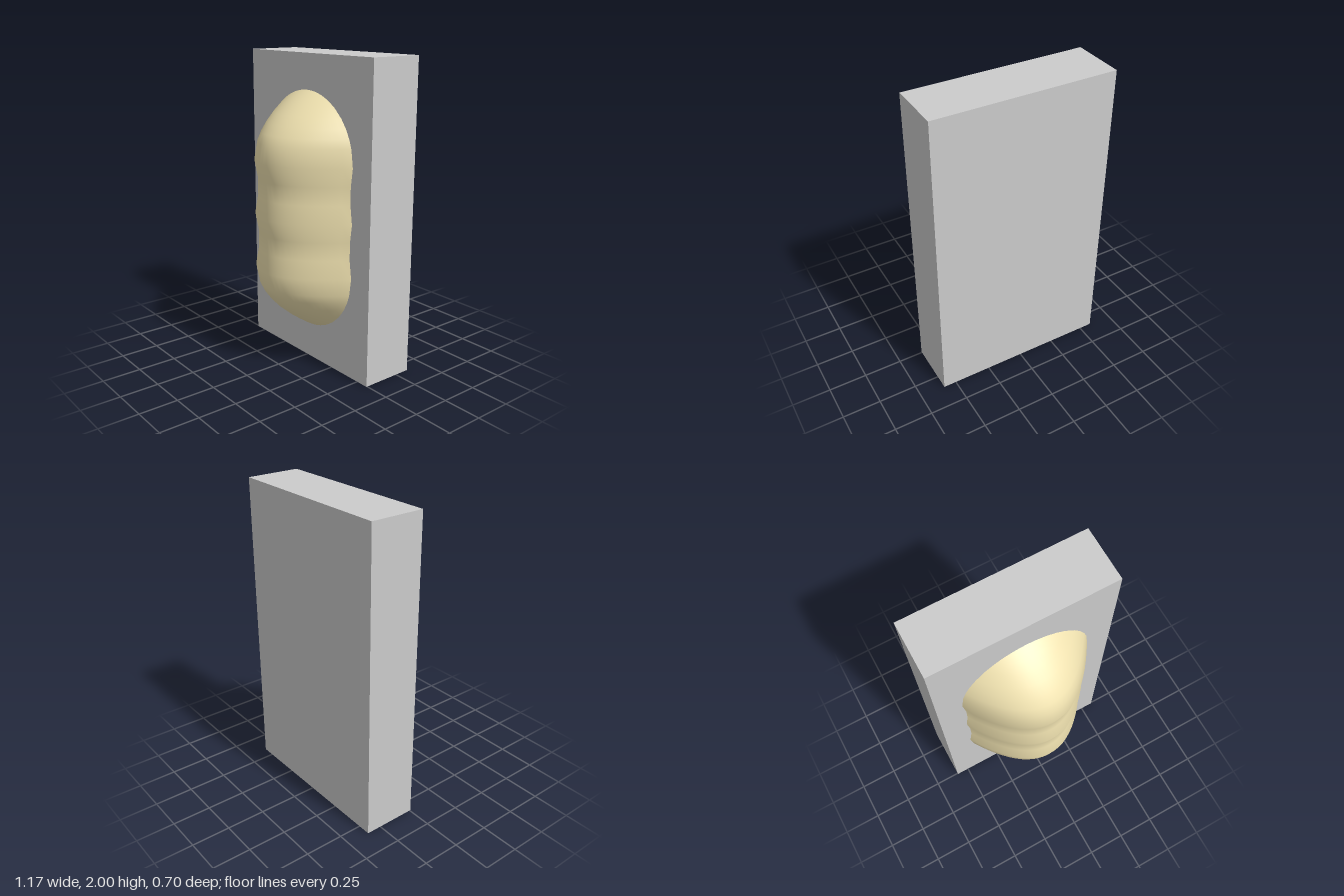
import * as THREE from 'three';

const RADIUS = 0.43, DEPTH = 0.35;

// Ridged mound: parabolic cross-sections swept upward over three overlapping lobes
function moundGeometry() {
  const lobes = [0.66, 1.005, 1.35];
  const cap = [0.428, 0.42, 0.405, 0.38, 0.343, 0.285, 0.228, 0.17, 0.114];
  const rows = [
    ...cap.map(d => lobes[0] - d),
    lobes[0], 0.775, 0.89, lobes[1], 1.12, 1.235, lobes[2],
    ...cap.map(d => lobes[2] + d).reverse(),
  ];
  const segments = 24, positions = [], indices = [];
  rows.forEach((y, j) => {
    const dy = Math.min(...lobes.map(c => Math.abs(y - c)));
    const w2 = RADIUS * RADIUS - dy * dy;
    const w = Math.sqrt(w2), d = DEPTH * w2 / (RADIUS * RADIUS);
    for (let i = 0; i <= segments; i++) {
      const u = (i / segments) * 2 - 1;
      positions.push(u * w, y, d * (1 - u * u));
      if (i < segments && j < rows.length - 1) {
        const a = j * (segments + 1) + i, b = a + segments + 1;
        indices.push(a, a + 1, b, a + 1, b + 1, b);
      }
    }
  });
  const geometry = new THREE.BufferGeometry();
  geometry.setAttribute('position', new THREE.Float32BufferAttribute(positions, 3));
  geometry.setIndex(indices);
  geometry.computeVertexNormals();
  return geometry;
}

export function createModel() {
  const model = new THREE.Group();

  // Rectangular backing slab
  const slab = new THREE.Mesh(
    new THREE.BoxGeometry(1.17, 2, 0.355),
    new THREE.MeshStandardMaterial({ color: 0xcccccc })
  );
  slab.name = 'backingSlab';
  slab.position.set(0, 1, -0.172);

  // Raised ridged mound on the front face
  const mound = new THREE.Mesh(
    moundGeometry(),
    new THREE.MeshStandardMaterial({ color: 0xf0e2b0 })
  );
  mound.name = 'ridgedMound';

  model.add(slab, mound);
  return model;
}
